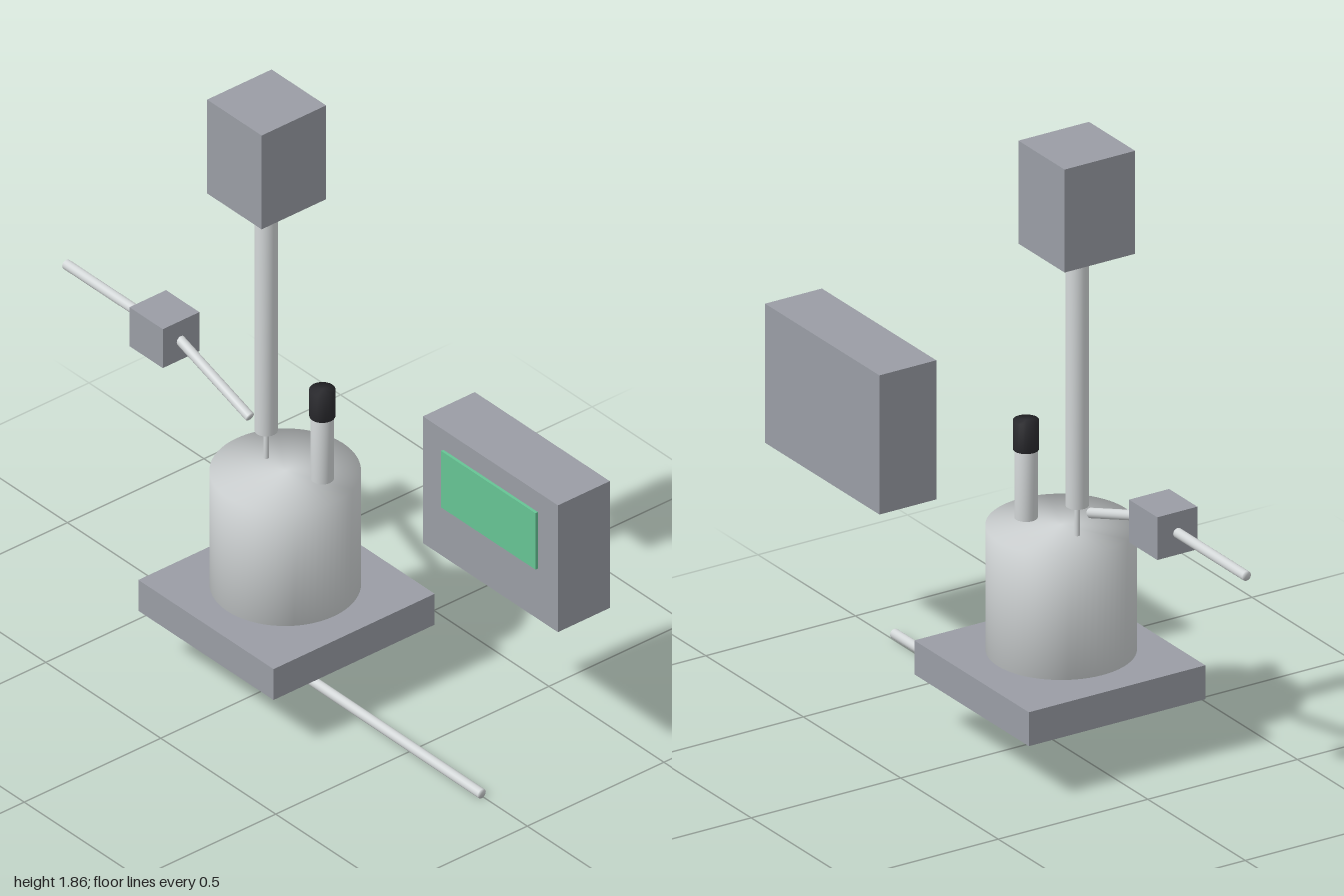
import * as THREE from 'three';
import { mergeVertices } from 'three/addons/utils/BufferGeometryUtils.js';

const material = (name, color) => {
  const m = new THREE.MeshStandardMaterial({ color });
  m.name = name;
  return m;
};

export function createModel() {
  const model = new THREE.Group();
  model.name = 'stirredVessel';

  const housing = material('housing grey', 0x9a9da5);
  const metal = material('pale metal', 0xd2d6d7);
  const black = material('cap black', 0x2b2b2f);
  const green = material('screen green', 0x66c494);

  const add = (name, geometry, mat) => {
    const mesh = new THREE.Mesh(geometry, mat);
    mesh.name = name;
    model.add(mesh);
    return mesh;
  };

  // Box given by its lower and upper corners
  const box = (name, mat, [x0, y0, z0], [x1, y1, z1]) => {
    const mesh = add(name, new THREE.BoxGeometry(x1 - x0, y1 - y0, z1 - z0), mat);
    mesh.position.set((x0 + x1) / 2, (y0 + y1) / 2, (z0 + z1) / 2);
  };

  // Closed cylinder between two points, with normals shared between side and caps
  const rod = (name, mat, from, to, radius, sides = 24) => {
    const a = new THREE.Vector3(...from);
    const b = new THREE.Vector3(...to);
    const raw = new THREE.CylinderGeometry(radius, radius, a.distanceTo(b), sides);
    raw.deleteAttribute('normal');
    raw.deleteAttribute('uv');
    const geometry = mergeVertices(raw, 1e-5);
    geometry.computeVertexNormals();
    const mesh = add(name, geometry, mat);
    mesh.position.copy(a).add(b).multiplyScalar(0.5);
    mesh.quaternion.setFromUnitVectors(new THREE.Vector3(0, 1, 0), b.sub(a).normalize());
  };

  // Base plate and vessel
  box('basePlate', housing, [-0.335, 0.174, -0.29], [0.253, 0.278, 0.3]);
  rod('vessel', metal, [-0.042, 0.289, 0.009], [-0.042, 0.671, 0.009], 0.2125, 64);

  // Stirrer: motor, column and thin shaft
  box('motor', housing, [-0.245, 1.55, -0.112], [-0.008, 1.866, 0.124]);
  rod('stirrerColumn', metal, [-0.127, 0.763, 0.007], [-0.127, 1.55, 0.007], 0.033);
  rod('stirrerShaft', metal, [-0.127, 0.56, 0.007], [-0.127, 0.78, 0.007], 0.008, 16);

  // Probe with a dark cap
  rod('probe', metal, [0.054, 0.6, -0.046], [0.054, 0.885, -0.046], 0.033);
  rod('probeCap', black, [0.054, 0.881, -0.046], [0.054, 0.97, -0.046], 0.037);

  // Control unit with its screen
  box('controlUnit', housing, [0.413, 0.607, -0.302], [1, 1.034, -0.112]);
  box('screen', green, [0.502, 0.777, -0.112], [0.913, 0.967, -0.103]);

  // Inlet pipes joined by a pump
  rod('inletPipe', metal, [-1, 0.874, 0.004], [-0.6, 0.874, 0.004], 0.015, 16);
  box('inletPump', housing, [-0.647, 0.807, -0.064], [-0.502, 0.938, 0.07]);
  rod('inletSpout', metal, [-0.54, 0.884, 0.004], [-0.202, 0.768, 0.004], 0.015, 16);

  // Outlet pipe under the base
  rod('outletDrop', metal, [0.064, 0.012, 0.007], [0.064, 0.19, 0.007], 0.012, 16);
  rod('outletPipe', metal, [0.054, 0.021, 0.007], [0.81, 0.017, 0.007], 0.015, 16);

  return model;
}
